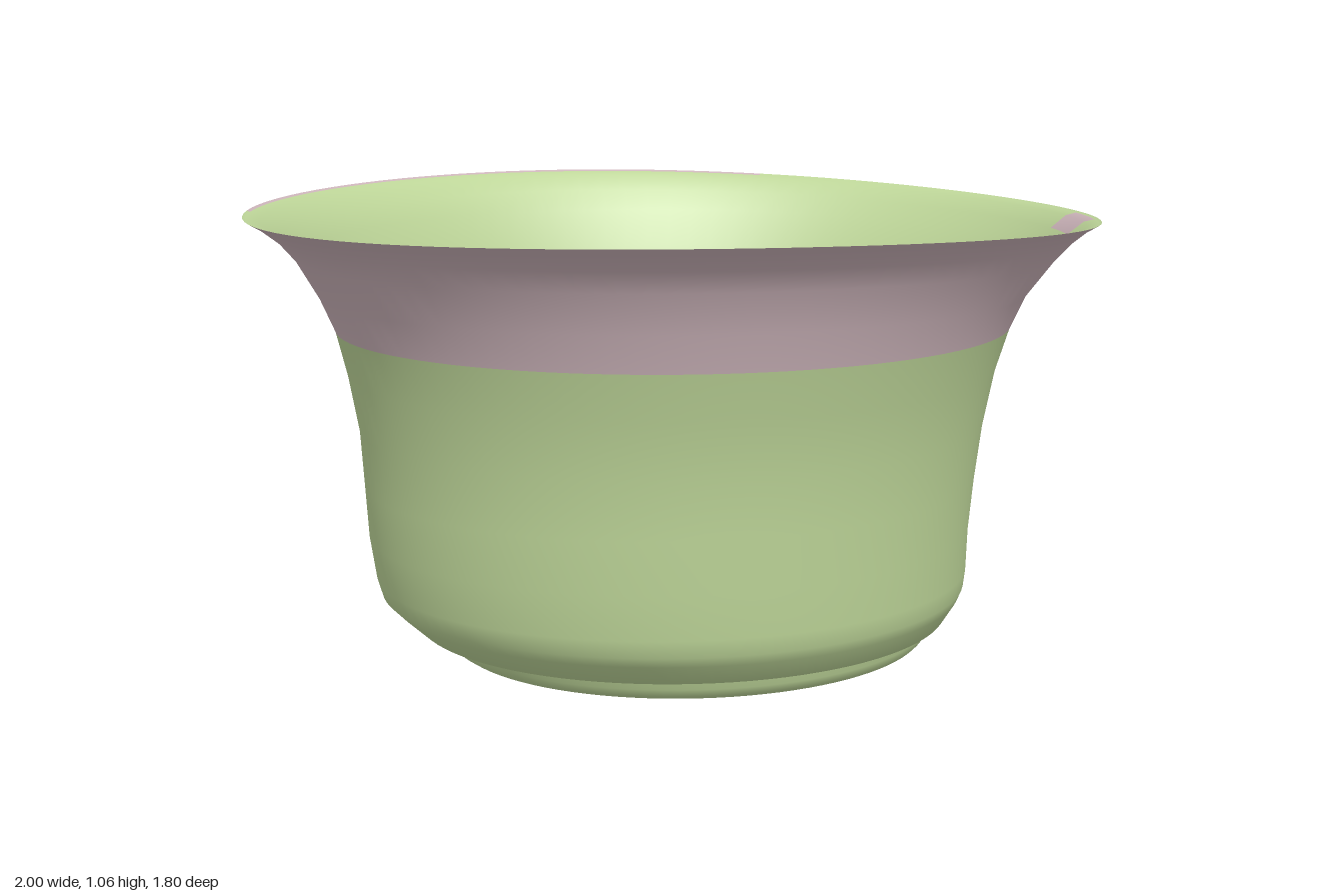
import * as THREE from 'three';

const SEG = 96;

// Cross-sections from top to bottom: [y, x min, x max, z min, z max]
const WALL = [
  [1.0, -1.0, 1.0, -0.9, 0.9],
  [0.985, -0.97, 0.975, -0.875, 0.87],
  [0.955, -0.925, 0.94, -0.84, 0.825],
  [0.915, -0.885, 0.9, -0.805, 0.79],
  [0.84, -0.835, 0.83, -0.762, 0.757],
  [0.765, -0.8, 0.79, -0.735, 0.735],
  [0.66, -0.775, 0.755, -0.698, 0.707],
  [0.53, -0.752, 0.73, -0.67, 0.68],
  [0.4, -0.744, 0.712, -0.66, 0.672],
  [0.28, -0.737, 0.7, -0.65, 0.665],
  [0.18, -0.722, 0.697, -0.643, 0.658],
  [0.14, -0.71, 0.692, -0.637, 0.652],
  [0.115, -0.685, 0.682, -0.62, 0.637],
  [0.065, -0.63, 0.65, -0.575, 0.6],
  [0.066, -0.61, 0.632, -0.57, 0.572],
];
const FOOT = [
  [0.068, -0.58, 0.622, -0.548, 0.55],
  [0.03, -0.565, 0.615, -0.535, 0.54],
  [0.012, -0.55, 0.608, -0.522, 0.53],
  [0.002, -0.535, 0.6, -0.505, 0.515],
];
const FLOOR = [FOOT[3], [0, 0.03, 0.03, 0, 0]];

// Lofts the cross-sections as ellipses; colourOf picks a material per face
function loft(rings, { inward = false, bend = null, colourOf = () => 0 } = {}) {
  const pos = [], faces = [[], []];
  for (const [y, x0, x1, z0, z1] of rings) {
    for (let j = 0; j < SEG; j++) {
      const a = (j / SEG) * Math.PI * 2;
      const p = new THREE.Vector3(
        (x0 + x1) / 2 + ((x1 - x0) / 2) * Math.cos(a), y,
        (z0 + z1) / 2 + ((z1 - z0) / 2) * Math.sin(a));
      if (bend) bend(p, a);
      pos.push(p.x, p.y, p.z);
    }
  }
  for (let i = 0; i < rings.length - 1; i++) {
    for (let j = 0; j < SEG; j++) {
      const k = (j + 1) % SEG;
      const a = i * SEG + j, b = i * SEG + k, c = a + SEG, d = b + SEG;
      const quad = inward ? [a, c, b, b, c, d] : [a, b, c, b, d, c];
      faces[colourOf(i, (j + 0.5) * 360 / SEG)].push(...quad);
    }
  }
  const g = new THREE.BufferGeometry();
  g.setAttribute('position', new THREE.Float32BufferAttribute(pos, 3));
  g.setIndex([...faces[0], ...faces[1]]);
  g.addGroup(0, faces[0].length, 0);
  g.addGroup(faces[0].length, faces[1].length, 1);
  g.computeVertexNormals();
  return g;
}

// Uneven hand-made rim: higher at front and back, dipping on one side
function warpRim(p, a) {
  const w = THREE.MathUtils.clamp((p.y - 0.8) / 0.2, 0, 1);
  const s = Math.sin(a), c = Math.cos(a);
  p.y += w * (0.0175 - 0.0125 * c + 0.0285 * s * s - 0.009 * s);
}

// The glaze line runs lower across the back
function warpOuter(p, a) {
  const deg = THREE.MathUtils.radToDeg(a);
  if (Math.abs(p.y - 0.765) < 1e-6 && deg > 235 && deg < 299) {
    p.y = 0.71;
    p.x *= 0.98;
    p.z *= 0.975;
  }
  warpRim(p, a);
}

export function createModel() {
  const green = new THREE.MeshStandardMaterial({ color: 0xbdd598 });
  green.name = 'paleGreenGlaze';
  const pink = new THREE.MeshStandardMaterial({ color: 0xcbb3b9 });
  pink.name = 'dustyPinkGlaze';
  const greenBoth = new THREE.MeshStandardMaterial({ color: 0xbdd598, side: THREE.DoubleSide });
  greenBoth.name = 'paleGreenFoot';

  const group = new THREE.Group();
  group.name = 'bowl';
  const add = (name, geometry, material) => {
    const m = new THREE.Mesh(geometry, material);
    m.name = name;
    group.add(m);
  };

  // Outside: pink band above green, with one small bare spot under the rim
  add('outerWall', loft(WALL, {
    bend: warpOuter,
    colourOf: (i, deg) => (i < 5 && !(i === 1 && deg > 8 && deg < 18) ? 1 : 0),
  }), [green, pink]);

  // Inside: slightly inset, meeting the outside at the rim and bottom opening
  const last = WALL.length - 1;
  const inner = WALL.map(([y, x0, x1, z0, z1], i) => {
    const t = i === 0 || i >= last - 1 ? 0 : 0.006;
    return [y + t, x0 + t, x1 - t, z0 + t, z1 - t];
  });
  inner.splice(1, 0, [0.997, -0.993, 0.993, -0.893, 0.893]);
  add('innerWall', loft(inner, {
    inward: true,
    bend: warpRim,
    colourOf: (i, deg) => ((i === 0 && deg > 195 && deg < 300) ||
      ((i === 1 || i === 2) && deg > 9 && deg < 18) ? 1 : 0),
  }), [green, pink]);

  // Foot dish set into the bottom opening, with a narrow gap around it
  add('footWall', loft(FOOT), [greenBoth, greenBoth]);
  add('footFloor', loft(FLOOR), [greenBoth, greenBoth]);

  return group;
}
